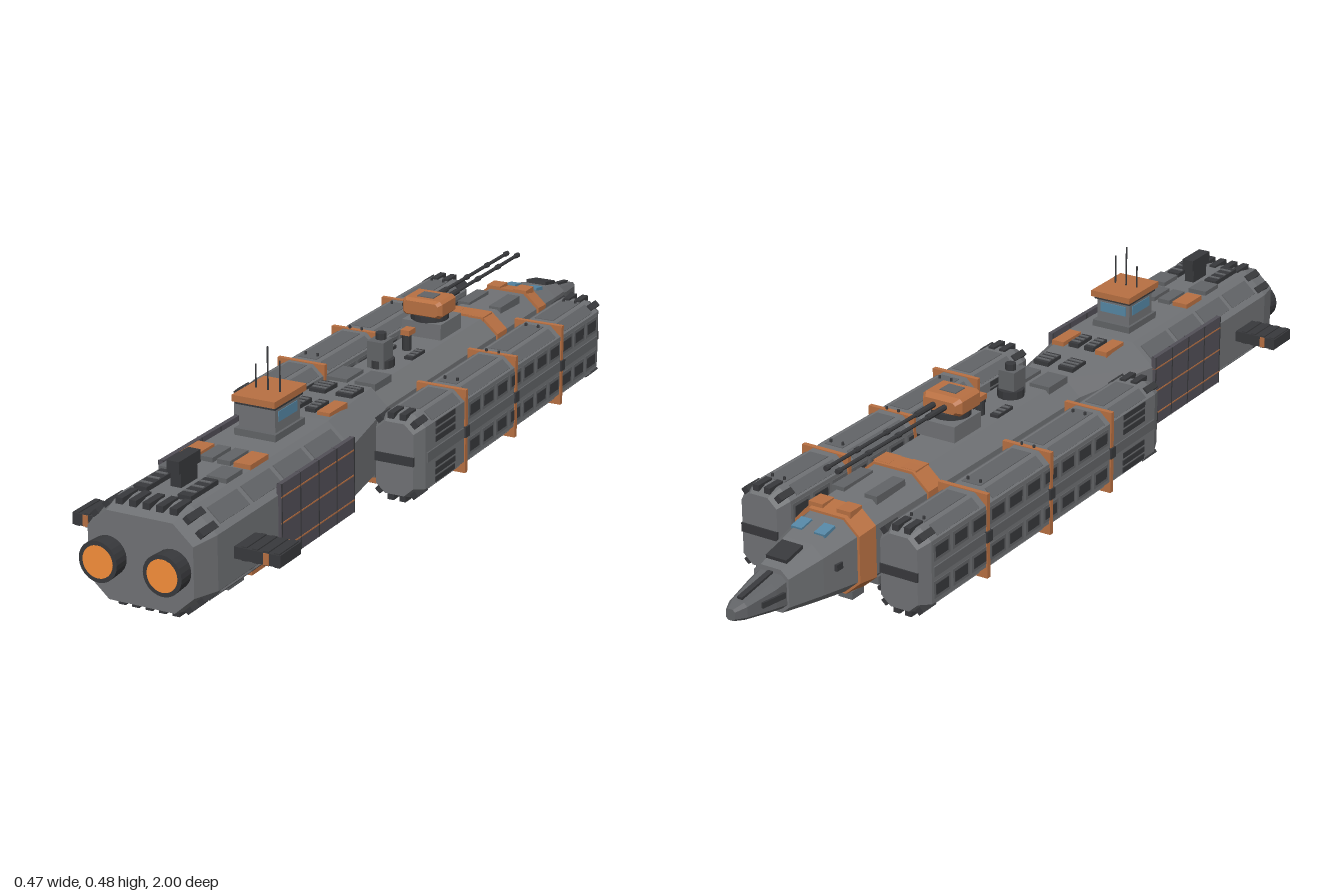
import * as THREE from 'three';

const mat = (color) => new THREE.MeshStandardMaterial({ color, flatShading: true });
const GREY = mat(0x707275), MID = mat(0x626467), DARK = mat(0x38393c), ORANGE = mat(0xb87042);
const GLOW = mat(0xf68e3a), BLUE = mat(0x5587a5), SOLAR = mat(0x524f57);
const CY = 0.19; // height of the ship's axis

function add(parent, name, geometry, material, x = 0, y = 0, z = 0) {
  const m = new THREE.Mesh(geometry, material);
  m.name = name;
  m.position.set(x, y, z);
  parent.add(m);
  return m;
}
const box = (p, name, m, w, h, d, x, y, z) => add(p, name, new THREE.BoxGeometry(w, h, d), m, x, y, z);
const rod = (p, name, m, r, len, x, y, z, axis = 'y', r2 = r, n = 12) => {
  const c = add(p, name, new THREE.CylinderGeometry(r, r2, len, n), m, x, y, z);
  if (axis === 'z') c.rotation.x = Math.PI / 2;
};

// Octagon ring, counter-clockwise seen from +z: half width, half height, chamfers
const ring = (hw, hh, cx, cy) => [
  [hw, -hh + cy], [hw, hh - cy], [hw - cx, hh], [-hw + cx, hh],
  [-hw, hh - cy], [-hw, -hh + cy], [-hw + cx, -hh], [hw - cx, -hh]];

// Skin over octagons; sections run towards +z as [z, halfWidth, top, bottom, chamfer]
function loft(sections) {
  const rings = sections.map(([z, hw, top, bot, c]) =>
    ring(hw, (top - bot) / 2, c, c * 0.9).map(([x, y]) => [x, y + (top + bot) / 2, z]));
  const pos = [];
  const tri = (...v) => v.forEach((p) => pos.push(...p));
  for (let i = 0; i + 1 < rings.length; i++) {
    for (let j = 0; j < 8; j++) {
      const k = (j + 1) % 8, A = rings[i], B = rings[i + 1];
      tri(A[j], A[k], B[k]);
      tri(A[j], B[k], B[j]);
    }
  }
  const S = rings[0], E = rings[rings.length - 1];
  for (let j = 1; j < 7; j++) {
    tri(S[0], S[j + 1], S[j]);
    tri(E[0], E[j], E[j + 1]);
  }
  const g = new THREE.BufferGeometry();
  g.setAttribute('position', new THREE.Float32BufferAttribute(pos, 3));
  g.computeVertexNormals();
  return g;
}

// Blocks along the slanted and flat edges of an octagonal rim centred on height y0
function rimBlocks(p, name, y0, hw, hh, c, z, depth, size, step) {
  const pts = ring(hw, hh, c, c * 0.9);
  pts.forEach(([x, y], i) => {
    if (i % 4 === 0) return; // upright sides stay clean
    const [u, v] = pts[(i + 1) % 8];
    const len = Math.hypot(u - x, v - y), n = Math.max(1, Math.round(len / step));
    for (let k = 0; k < n; k++) {
      const t = (k + 0.5) / n;
      box(p, name, DARK, size, 0.014, depth, x + (u - x) * t, y0 + y + (v - y) * t, z)
        .rotation.z = Math.atan2(v - y, u - x);
    }
  });
}

function makeHull(g) {
  add(g, 'hull', loft([
    [-0.87, 0.042, 0.235, 0.142, 0.018], [-0.78, 0.06, 0.255, 0.128, 0.026],
    [-0.65, 0.078, 0.278, 0.108, 0.035], [-0.4, 0.085, 0.285, 0.097, 0.038],
    [0.13, 0.09, 0.288, 0.093, 0.04], [0.37, 0.134, 0.297, 0.085, 0.054],
    [0.9, 0.134, 0.297, 0.085, 0.054], [0.962, 0.118, 0.283, 0.098, 0.044]]), GREY);
  add(g, 'noseCone', loft([
    [-1, 0.011, 0.2, 0.176, 0.005], [-0.975, 0.022, 0.207, 0.17, 0.008],
    [-0.9, 0.035, 0.219, 0.157, 0.012], [-0.86, 0.038, 0.226, 0.15, 0.013]]), MID);
  box(g, 'noseSpine', DARK, 0.012, 0.012, 0.1, 0, 0.215, -0.92).rotation.x = -0.15;
  box(g, 'noseVent', DARK, 0.05, 0.008, 0.055, 0, 0.25, -0.825).rotation.x = -0.2;
  // Painted collars
  add(g, 'frontCollar', loft([[-0.685, 0.079, 0.277, 0.109, 0.036], [-0.635, 0.084, 0.284, 0.103, 0.037]]), ORANGE);
  add(g, 'midCollar', loft([[-0.455, 0.088, 0.289, 0.094, 0.039], [-0.405, 0.089, 0.29, 0.093, 0.039]]), ORANGE);
  for (const s of [-1, 1]) {
    box(g, 'cockpitWindow', BLUE, 0.026, 0.008, 0.036, s * 0.028, 0.264, -0.73).rotation.x = -0.17;
    box(g, 'noseSidePort', DARK, 0.01, 0.014, 0.02, s * 0.066, 0.2, -0.74);
    box(g, 'noseSideVent', DARK, 0.008, 0.012, 0.06, s * 0.034, 0.19, -0.91).rotation.y = s * 0.17;
    // Engines
    rod(g, 'engineNozzle', DARK, 0.043, 0.055, s * 0.072, CY, 0.9725, 'z', 0.04, 24);
    rod(g, 'engineGlow', GLOW, 0.034, 0.004, s * 0.072, CY, 0.999, 'z', 0.034, 24);
    // Solar panels with grid lines
    box(g, 'solarPanel', SOLAR, 0.01, 0.165, 0.3, s * 0.136, CY, 0.52);
    for (let i = 0; i < 5; i++) box(g, 'panelSeam', DARK, 0.012, 0.165, 0.003, s * 0.136, CY, 0.372 + i * 0.074);
    for (let i = 0; i < 3; i++) box(g, 'panelLine', ORANGE, 0.012, 0.003, 0.3, s * 0.136, 0.135 + i * 0.055, 0.52);
    // Side thruster stubs
    box(g, 'sideStub', DARK, 0.108, 0.025, 0.08, s * 0.182, 0.191, 0.8);
    for (let i = 0; i < 4; i++) box(g, 'stubRib', DARK, 0.012, 0.03, 0.075, s * (0.155 + i * 0.024), 0.191, 0.8);
    box(g, 'stubLamp', ORANGE, 0.012, 0.024, 0.084, s * 0.205, 0.191, 0.8);
    // Thin plates along the upper and lower hull edges
    for (let i = 0; i < 4; i++) {
      for (const v of [-1, 1]) box(g, 'edgePlate', MID, 0.04, 0.006, 0.11, s * 0.107, CY + v * 0.0815, 0.44 + i * 0.125).rotation.z = -s * v * 0.73;
    }
  }
  rimBlocks(g, 'rearClamp', 0.191, 0.13, 0.104, 0.054, 0.91, 0.055, 0.016, 0.03);
  // Dorsal and ventral stubs
  box(g, 'dorsalStub', DARK, 0.024, 0.05, 0.06, 0, 0.315, 0.8);
  box(g, 'dorsalStubCap', DARK, 0.028, 0.026, 0.08, 0, 0.341, 0.8);
  box(g, 'ventralStub', DARK, 0.028, 0.04, 0.08, 0, 0.078, 0.8);
}

function makeDeckDetails(g) {
  // [material, x, z, width, length], mirrored on both sides of the deck
  const plates = [
    [ORANGE, 0.056, 0.31, 0.03, 0.075], [ORANGE, 0.062, 0.65, 0.038, 0.07], [DARK, 0.02, 0.31, 0.024, 0.06],
    [DARK, 0.032, 0.19, 0.038, 0.055], [MID, 0.034, 0.09, 0.05, 0.075], [DARK, 0.05, 0.83, 0.03, 0.1],
    [MID, 0.055, 0.74, 0.045, 0.06], [MID, 0.02, 0.65, 0.03, 0.07], [DARK, 0.035, -0.1, 0.02, 0.06],
    [ORANGE, 0.034, -0.425, 0.038, 0.046], [ORANGE, 0.034, -0.655, 0.034, 0.04], [MID, 0.04, -0.54, 0.03, 0.1]];
  for (const [m, x, z, w, d] of plates) {
    const rise = THREE.MathUtils.clamp((z + 0.65) * 0.012, 0, 0.013) + (z > 0.13 ? Math.min(0.007, (z - 0.13) * 0.03) : 0);
    const top = 0.278 + rise;
    for (const s of [-1, 1]) {
      box(g, 'deckPlate', m, w, 0.018, d, s * x, top, z);
      if (m === DARK) for (let k = -1; k < 2; k++) box(g, 'ventSlat', MID, w * 0.9, 0.022, 0.006, s * x, top, z + k * d * 0.28);
      box(g, 'keelPlate', m === ORANGE && z < 0.4 ? MID : m, w, 0.018, d, s * x, 2 * CY - top, z);
    }
  }
  for (let i = 0; i < 4; i++) box(g, 'keelVent', DARK, 0.06, 0.016, 0.07, 0, 0.087, 0.2 + i * 0.13);
  box(g, 'keelLamp', ORANGE, 0.03, 0.024, 0.035, 0.04, 0.082, 0.335);
  // Bridge tower, windows facing the sides and the nose
  box(g, 'bridgeBase', MID, 0.096, 0.02, 0.12, 0, 0.302, 0.47);
  box(g, 'bridge', GREY, 0.084, 0.075, 0.1, 0, 0.338, 0.47);
  box(g, 'bridgeSideWindow', BLUE, 0.087, 0.022, 0.075, 0, 0.344, 0.47);
  box(g, 'bridgeNoseWindow', BLUE, 0.066, 0.022, 0.01, 0, 0.344, 0.423);
  box(g, 'bridgeRoof', ORANGE, 0.1, 0.014, 0.13, 0, 0.377, 0.47);
  box(g, 'bridgeRoofRim', DARK, 0.092, 0.008, 0.115, 0, 0.367, 0.47);
  for (const [x, top] of [[0, 0.476], [-0.028, 0.435], [0.028, 0.45]])
    rod(g, 'antenna', DARK, 0.0018, top - 0.38, x, (top + 0.38) / 2, 0.475, 'y', 0.0018, 6);
  // Sensor masts
  rod(g, 'sensorBase', DARK, 0.03, 0.02, 0, 0.295, -0.01);
  box(g, 'sensorMast', MID, 0.04, 0.06, 0.045, 0, 0.318, -0.005);
  rod(g, 'sensorHead', DARK, 0.012, 0.025, 0, 0.35, -0.01);
  rod(g, 'beaconPost', DARK, 0.01, 0.04, 0, 0.305, -0.13);
  box(g, 'beacon', ORANGE, 0.022, 0.012, 0.03, 0, 0.328, -0.135);
}

// Twin-barrel turret; dir is +1 for the upper side, -1 when hung below
function makeTurret(name, dir, rootY, z, length) {
  const t = new THREE.Group();
  t.name = name;
  t.position.set(0, rootY, z);
  const y = (v) => dir * v;
  box(t, 'turretBase', GREY, 0.096, 0.036, 0.1, 0, y(0.016), -0.01);
  rod(t, 'turretRing', DARK, 0.043, 0.014, 0, y(0.04), 0, 'y', 0.043, 16);
  add(t, 'turretHousing', loft([
    [-0.045, 0.04, y(0.066) + 0.013, y(0.066) - 0.013, 0.006], [-0.03, 0.049, y(0.066) + 0.02, y(0.066) - 0.02, 0.007],
    [0.035, 0.049, y(0.066) + 0.02, y(0.066) - 0.02, 0.007], [0.045, 0.042, y(0.066) + 0.015, y(0.066) - 0.015, 0.006]]), ORANGE);
  box(t, 'turretHatch', MID, 0.04, 0.006, 0.035, 0, y(0.085), 0.005);
  for (const s of [-1, 1]) {
    rod(t, 'barrel', DARK, 0.004, length, s * 0.014, y(0.066), -0.04 - length / 2, 'z', 0.004, 8);
    rod(t, 'barrelSleeve', DARK, 0.0065, 0.07, s * 0.014, y(0.066), -0.075, 'z', 0.0065, 8);
    for (const f of [0.45, 0.72, 0.985]) rod(t, 'barrelRing', DARK, 0.006, 0.012, s * 0.014, y(0.066), -0.04 - length * f, 'z', 0.006, 8);
  }
  return t;
}

// Cargo pod on one side (s = +1 or -1)
function makePod(s) {
  const p = new THREE.Group();
  p.name = s > 0 ? 'leftPod' : 'rightPod';
  p.position.set(s * 0.171, CY, 0);
  add(p, 'podBody', loft([
    [-0.682, 0.044, 0.08, -0.08, 0.022], [-0.65, 0.056, 0.092, -0.092, 0.026],
    [0.22, 0.056, 0.092, -0.092, 0.026], [0.252, 0.044, 0.08, -0.08, 0.022]]), GREY);
  for (const z of [-0.65, 0.22]) rimBlocks(p, 'podClamp', 0, 0.054, 0.09, 0.026, z, 0.045, 0.015, 0.026);
  box(p, 'podRail', MID, 0.118, 0.022, 0.86, 0, 0, -0.215);
  box(p, 'podEndStrap', DARK, 0.09, 0.02, 0.94, 0, 0, -0.215);
  box(p, 'podBracket', DARK, 0.03, 0.04, 0.035, -s * 0.07, 0, 0.1);
  for (const z of [-0.45, -0.21, 0.035]) {
    // Square band with a clasp
    box(p, 'podBand', ORANGE, 0.118, 0.188, 0.011, 0, 0, z);
    box(p, 'podClasp', DARK, 0.125, 0.024, 0.02, 0, 0, z);
  }
  for (let i = 0; i < 10; i++) {
    // Dark side windows in two rows
    const z = -0.615 + i * 0.0675;
    for (const v of [-1, 1]) {
      box(p, 'podWindowFrame', MID, 0.1145, 0.038, 0.058, 0, v * 0.041, z);
      box(p, 'podWindow', DARK, 0.1165, 0.024, 0.044, 0, v * 0.041, z);
      if (i % 3 === 0) for (const u of [-1, 1]) rod(p, 'podStud', DARK, 0.003, 0.01, u * 0.015, v * 0.095, z, 'y', 0.003, 6);
    }
  }
  // Slatted aft section
  for (let i = 0; i < 3; i++) {
    for (const v of [-1, 1]) box(p, 'aftSlat', DARK, 0.1155, 0.012, 0.09, 0, v * (0.028 + i * 0.017), 0.13);
  }
  // Long plates on top, bottom and slanted edges
  for (const [z, d] of [[-0.55, 0.15], [-0.33, 0.19], [-0.088, 0.2], [0.12, 0.13]]) {
    box(p, 'podPlate', MID, 0.046, 0.187, d, 0, 0, z);
    for (const u of [-1, 1]) for (const v of [-1, 1])
      box(p, 'podChamferPlate', MID, 0.026, 0.005, d, u * 0.0425, v * 0.0798, z).rotation.z = -u * v * 0.73;
  }
  return p;
}

export function createModel() {
  const g = new THREE.Group();
  g.name = 'spaceship';
  makeHull(g);
  makeDeckDetails(g);
  g.add(makeTurret('upperTurret', 1, 0.296, -0.24, 0.385));
  g.add(makeTurret('lowerTurret', -1, 0.089, -0.06, 0.39));
  for (const s of [-1, 1]) g.add(makePod(s));
  return g;
}
